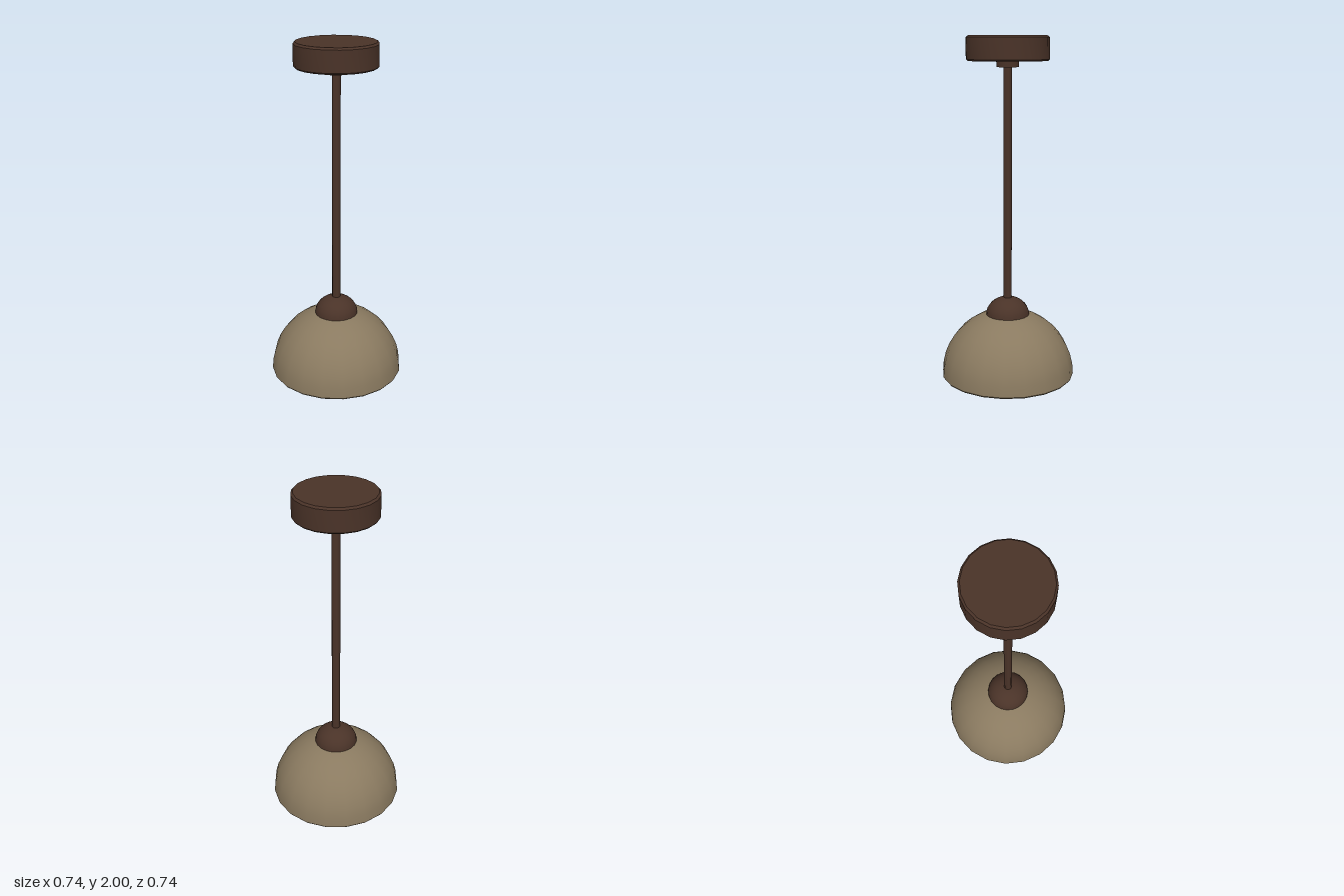
import * as THREE from 'three';
import { toCreasedNormals } from 'three/addons/utils/BufferGeometryUtils.js';

const brown = new THREE.MeshStandardMaterial({ color: 0x4a3328 });
const olive = new THREE.MeshStandardMaterial({ color: 0x8a7a60 });
const grey = new THREE.MeshStandardMaterial({ color: 0xcccccc });

// Revolve an [radius, height] profile, keeping sharp edges crisp
function turned(name, profile, material, sides = 20) {
  const points = profile.map(([r, y]) => new THREE.Vector2(r, y));
  const mesh = new THREE.Mesh(toCreasedNormals(new THREE.LatheGeometry(points, sides), 0.6), material);
  mesh.name = name;
  return mesh;
}

// Quarter ellipse from the rim (t = 0) up to the pole (t = 1)
function dome(rx, ry, y, steps) {
  return Array.from({ length: steps + 1 }, (_, i) => {
    const a = (i / steps) * Math.PI / 2;
    return [i === steps ? 0 : rx * Math.cos(a), y + ry * Math.sin(a)];
  });
}

export function createModel() {
  const lamp = new THREE.Group();
  lamp.name = 'pendantLamp';

  // Ceiling canopy with bevelled edges, and the collar below it
  lamp.add(turned('canopy', [
    [0, 1.87], [0.212, 1.87], [0.22, 1.878], [0.22, 1.99], [0.21, 2], [0, 2],
  ], brown));
  lamp.add(turned('collar', [[0, 1.838], [0.06, 1.838], [0.06, 1.875], [0, 1.875]], brown));

  // Hanging rod
  lamp.add(turned('rod', [[0, 0.5], [0.023, 0.5], [0.023, 1.86], [0, 1.86]], brown, 12));

  // Cap over the top of the shade
  lamp.add(turned('shadeCap', [[0, 0.483], ...dome(0.12, 0.102, 0.483, 8)], brown));

  // Shade: inner shell down, around the bevelled rim, outer shell up
  lamp.add(turned('shade', [
    ...dome(0.335, 0.335, 0.148, 10).reverse(),
    [0.34, 0.136], [0.362, 0.136],
    ...dome(0.368, 0.362, 0.144, 10),
  ], olive));

  // Round bulb
  const bulb = new THREE.Mesh(new THREE.SphereGeometry(0.25, 32, 20), grey);
  bulb.name = 'bulb';
  bulb.position.y = 0.25;
  lamp.add(bulb);

  return lamp;
}
